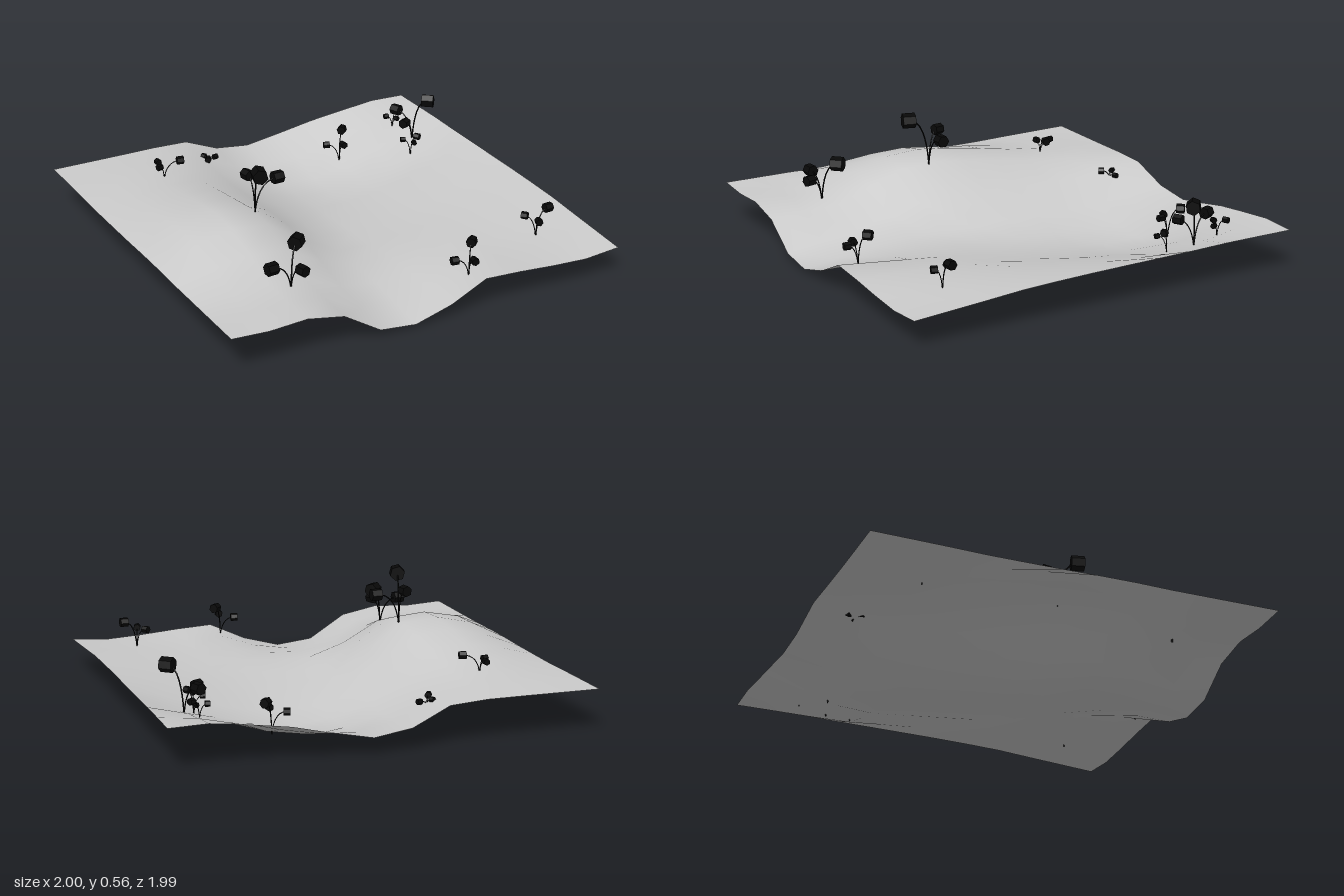
import * as THREE from 'three';

// Ground cross-sections: [z, heights from x = -1 to x = 1]
const SECTIONS = [
  [-0.96, [.21, .21, .21, .21, .20, .12, .095, .13, .17, .195, .215, .21]],
  [-0.63, [.205, .22, .23, .225, .17, .08, .035, .02, .05, .11, .17, .21]],
  [-0.45, [.20, .225, .25, .24, .17, .08, .03, .01, .035, .08, .13, .205]],
  [-0.10, [.20, .27, .31, .29, .19, .09, .05, .05, .07, .12, .16, .20]],
  [0.20, [.205, .305, .345, .33, .20, .08, .065, .08, .10, .14, .17, .195]],
  [0.46, [.20, .25, .27, .25, .15, .09, .09, .11, .13, .15, .17, .185]],
  [0.65, [.20, .20, .20, .18, .10, .075, .085, .13, .14, .15, .16, .17]],
  [0.99, [.20, .19, .20, .165, .05, .03, .08, .165, .155, .14, .13, .145]],
];
const CELLS = 11;

// Height of the ground at (x, z), linear between sections
function heightAt(x, z) {
  const { clamp, lerp } = THREE.MathUtils;
  let k = 0;
  while (k < SECTIONS.length - 2 && z > SECTIONS[k + 1][0]) k++;
  const [z0, a] = SECTIONS[k], [z1, b] = SECTIONS[k + 1];
  const t = clamp((z - z0) / (z1 - z0), 0, 1);
  const u = clamp((x + 1) / 2, 0, 1) * CELLS;
  const i = Math.min(Math.floor(u), CELLS - 1);
  const row = (h) => lerp(h[i], h[i + 1], u - i);
  return lerp(row(a), row(b), t);
}

// Smooth open sheet; its back edge bulges out a little
function makeGround() {
  const geo = new THREE.PlaneGeometry(2, 1.95, CELLS, CELLS).rotateX(-Math.PI / 2).translate(0, 0, 0.015);
  const p = geo.attributes.position;
  for (let i = 0; i < p.count; i++) {
    const x = p.getX(i), z = p.getZ(i);
    p.setY(i, heightAt(x, z));
    if (z < -0.9) p.setZ(i, z - 0.04 * Math.exp(-(((x - 0.07) / 0.32) ** 2)));
  }
  geo.computeVertexNormals();
  const mat = new THREE.MeshStandardMaterial({ color: 0xcccccc, side: THREE.DoubleSide });
  const ground = new THREE.Mesh(geo, mat);
  ground.name = 'ground';
  return ground;
}

// Plants: root [x, z] and three heads [x, y, z, radius]
const PLANTS = [
  { root: [-.45, .145], heads: [[-.33, .46, .14, .03], [-.46, .48, .09, .027], [-.475, .54, .24, .037]] },
  { root: [-.55, .68], heads: [[-.65, .31, .69, .03], [-.49, .375, .62, .035], [-.53, .30, .75, .027]] },
  { root: [.25, .88], heads: [[.18, .225, .87, .02], [.285, .285, .845, .024], [.245, .235, .93, .019]] },
  { root: [.73, .71], heads: [[.695, .245, .665, .018], [.795, .28, .705, .023], [.72, .24, .745, .018]] },
  { root: [.82, -.55], heads: [[.88, .365, -.50, .035], [.78, .285, -.645, .028], [.75, .265, -.51, .025]] },
  { root: [.75, -.45], heads: [[.71, .20, -.46, .014], [.77, .22, -.42, .017], [.74, .20, -.40, .013]] },
  { root: [.79, -.70], heads: [[.755, .23, -.705, .014], [.83, .25, -.72, .016], [.80, .22, -.675, .013]] },
  { root: [.45, -.66], heads: [[.385, .155, -.68, .018], [.49, .21, -.705, .023], [.45, .165, -.62, .018]] },
  { root: [-.58, -.57], heads: [[-.50, .31, -.555, .02], [-.585, .29, -.63, .016], [-.605, .29, -.565, .016]] },
  { root: [-.24, -.775], heads: [[-.255, .185, -.80, .013], [-.20, .175, -.785, .014], [-.26, .19, -.74, .016]] },
];

// Three arching stems from one root, each ending in a faceted head
function makePlant({ root: [x, z], heads }, mat) {
  const plant = new THREE.Group();
  plant.name = 'plant';
  const base = new THREE.Vector3(x, heightAt(x, z) - 0.01, z);
  for (const [hx, hy, hz, r] of heads) {
    const tip = new THREE.Vector3(hx, hy, hz);
    const bend = base.clone().lerp(tip, 0.15).setY(hy);
    const curve = new THREE.QuadraticBezierCurve3(base, bend, tip);
    const stem = new THREE.Mesh(new THREE.TubeGeometry(curve, 8, 0.08 * r + 0.0008, 5), mat);
    stem.name = 'stem';
    const head = new THREE.Mesh(new THREE.CylinderGeometry(r, r, r * 1.7, 6), mat);
    head.name = 'head';
    head.position.copy(tip);
    head.quaternion.setFromUnitVectors(new THREE.Vector3(0, 1, 0), curve.getTangent(1));
    plant.add(stem, head);
  }
  return plant;
}

export function createModel() {
  const model = new THREE.Group();
  model.name = 'hillyGroundWithPlants';
  const black = new THREE.MeshStandardMaterial({ color: 0x080808, flatShading: true });
  model.add(makeGround());
  for (const p of PLANTS) model.add(makePlant(p, black));
  return model;
}
